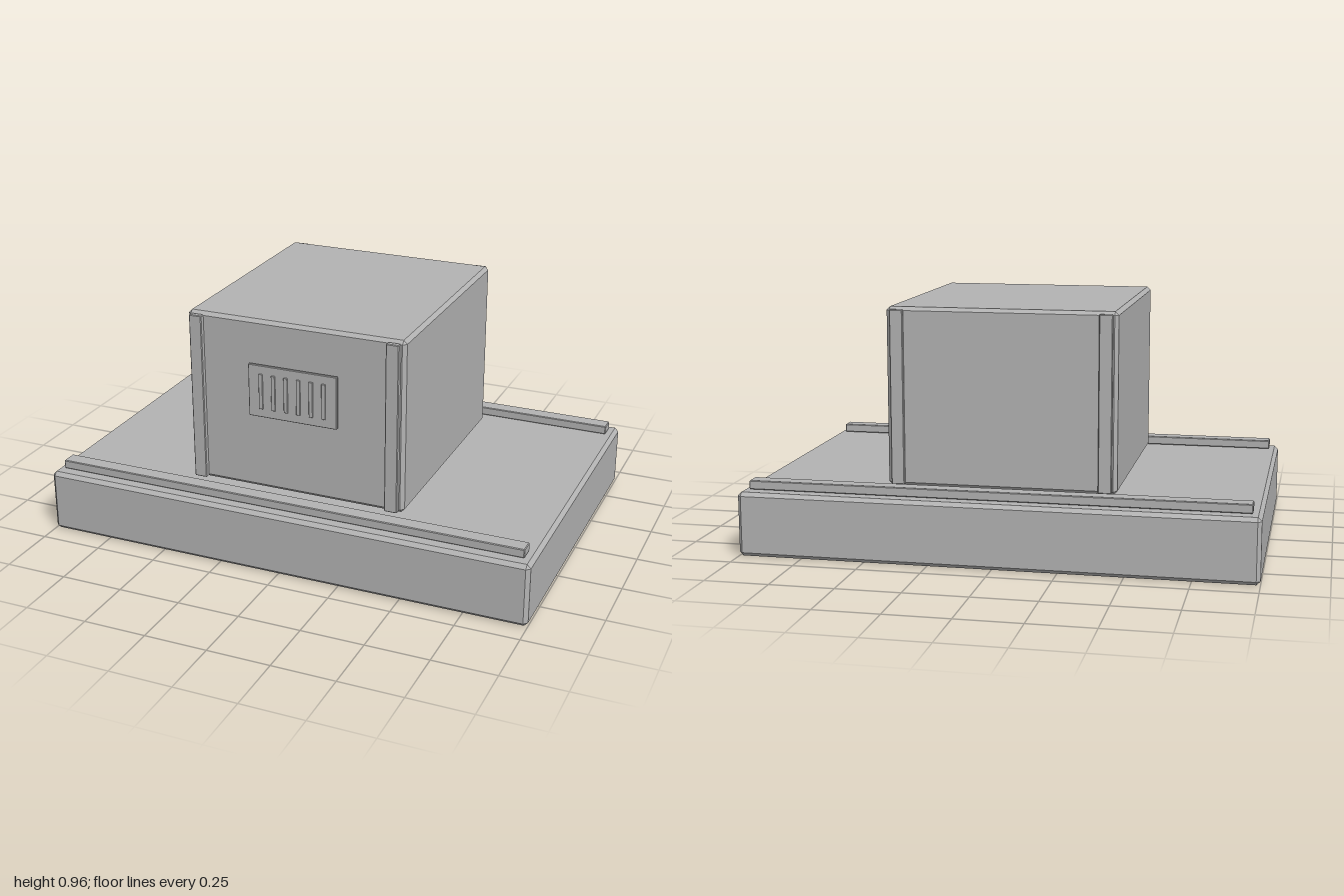
import * as THREE from 'three';
import { ConvexGeometry } from 'three/addons/geometries/ConvexGeometry.js';

const grey = new THREE.MeshStandardMaterial({ color: 0xb3b3b3 });
grey.name = 'plain grey';

// Box with chamfered edges: each face is inset by c on its two other axes
function bevelBox(w, h, d, c) {
  const half = [w / 2, h / 2, d / 2];
  const points = [];
  for (const sx of [-1, 1]) for (const sy of [-1, 1]) for (const sz of [-1, 1]) {
    for (let face = 0; face < 3; face++) {
      const p = [sx, sy, sz].map((s, i) => s * (i === face ? half[i] : half[i] - c));
      points.push(new THREE.Vector3(...p));
    }
  }
  return new ConvexGeometry(points);
}

export function createModel() {
  const model = new THREE.Group();
  model.name = 'boxOnPlinth';

  // Adds a chamfered block given by its extents on each axis
  function block(name, [x0, x1], [y0, y1], [z0, z1], c) {
    const mesh = new THREE.Mesh(bevelBox(x1 - x0, y1 - y0, z1 - z0, c), grey);
    mesh.position.set((x0 + x1) / 2, (y0 + y1) / 2, (z0 + z1) / 2);
    mesh.name = name;
    model.add(mesh);
  }

  // Wide slab and the housing floating just above it
  block('base', [-1, 1], [0, 0.253], [-0.667, 0.667], 0.015);
  block('housing', [-0.447, 0.447], [0.267, 0.963], [-0.484, 0.484], 0.014);

  // Long rails along the front and back of the base
  block('frontRail', [-0.965, 0.965], [0.257, 0.292], [0.558, 0.621], 0.003);
  block('backRail', [-0.965, 0.965], [0.257, 0.292], [-0.621, -0.558], 0.003);

  // Upright trim strips on the housing corners
  for (const [side, s] of [['left', 1], ['right', -1]]) {
    const x = [s * 0.403 - 0.026, s * 0.403 + 0.026];
    block(side + 'FrontTrim', x, [0.276, 0.954], [0.485, 0.508], 0.003);
    block(side + 'BackTrim', x, [0.276, 0.954], [-0.502, -0.486], 0.003);
  }

  // Vent panel with a row of upright slats
  block('ventPanel', [-0.183, 0.183], [0.578, 0.79], [0.493, 0.506], 0.002);
  for (let i = 0; i < 6; i++) {
    const x = (i - 2.5) * 0.052;
    block('ventSlat', [x - 0.008, x + 0.008], [0.613, 0.756], [0.502, 0.511], 0.001);
  }
  return model;
}
